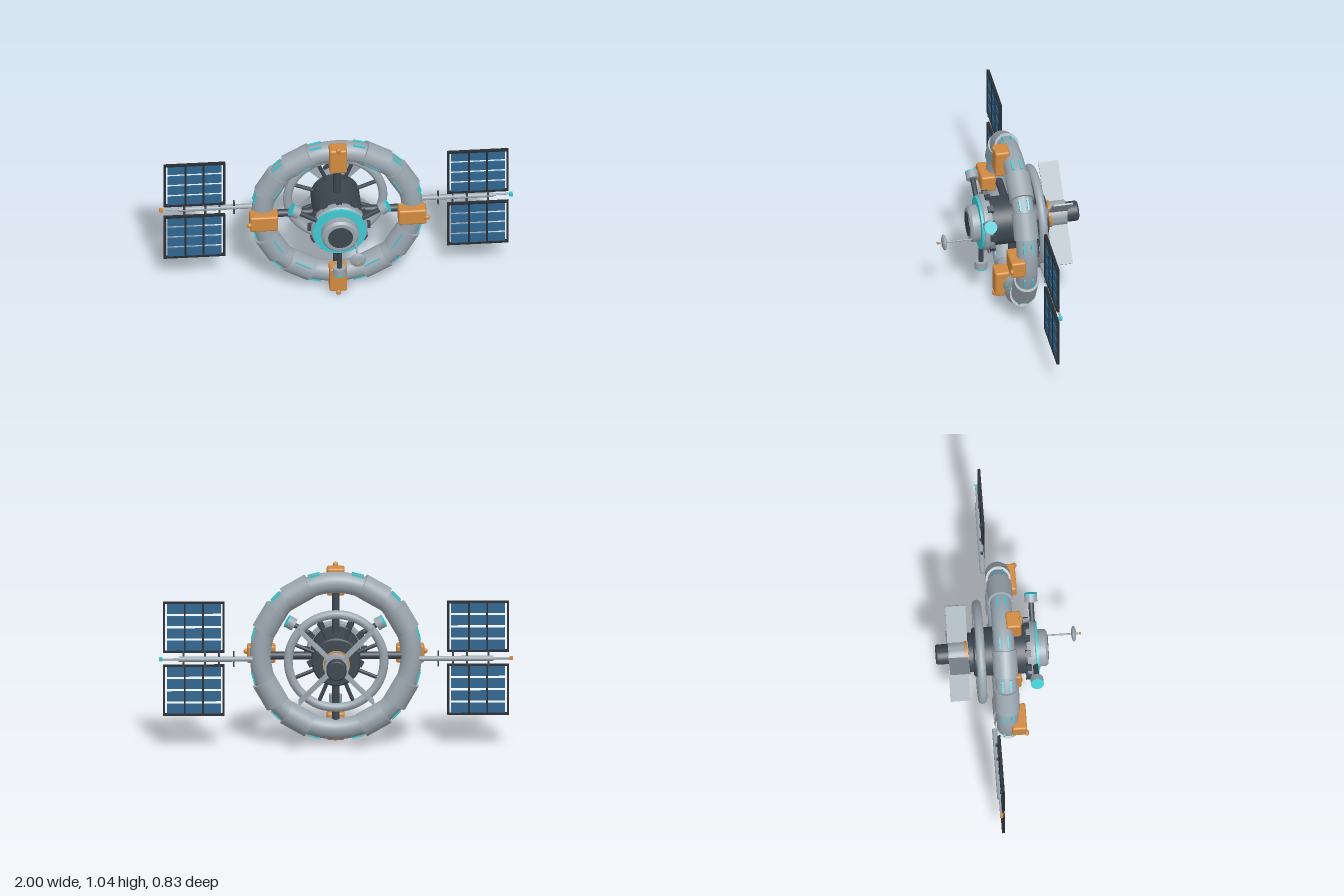
import * as THREE from 'three';
import { toCreasedNormals } from 'three/addons/utils/BufferGeometryUtils.js';
import { RoundedBoxGeometry } from 'three/addons/geometries/RoundedBoxGeometry.js';

const material = (name, color) => {
  const m = new THREE.MeshStandardMaterial({ color });
  m.name = name;
  return m;
};

export function createModel() {
  const hull = material('hullGrey', 0x9aa5ae);
  const dark = material('darkMetal', 0x3c4650);
  const frame = material('panelFrame', 0x282d33);
  const teal = material('tealGlow', 0x40c8d2);
  const orange = material('orange', 0xd08a40);
  const blue = material('solarBlue', 0x2f6690);

  const model = new THREE.Group();
  const station = new THREE.Group();
  station.name = 'station';
  station.position.y = 0.525;
  model.add(station);

  const add = (parent, name, geo, mat, x = 0, y = 0, z = 0) => {
    const mesh = new THREE.Mesh(geo, mat);
    mesh.name = name;
    mesh.position.set(x, y, z);
    parent.add(mesh);
    return mesh;
  };
  const box = (w, h, d) => new THREE.BoxGeometry(w, h, d);
  const cylX = (r, len, seg = 24) => new THREE.CylinderGeometry(r, r, len, seg).rotateZ(-Math.PI / 2);
  // Body of revolution about z from [radius, z] pairs, running back to front
  const turned = (name, mat, pts) => add(station, name, toCreasedNormals(
    new THREE.LatheGeometry(pts.map(([r, z]) => new THREE.Vector2(r, z)), 48).rotateX(Math.PI / 2), 0.6), mat);
  // Group whose local +x points outward at the given angle in degrees
  const arm = (name, degrees) => {
    const g = new THREE.Group();
    g.name = name;
    g.rotation.z = THREE.MathUtils.degToRad(degrees);
    station.add(g);
    return g;
  };

  // Hub, front to back
  turned('frontCap', hull, [[0, 0.15], [0.105, 0.15], [0.105, 0.207], [0.092, 0.22], [0, 0.22]]);
  turned('frontHatch', dark, [[0, 0.21], [0.07, 0.21], [0.07, 0.224], [0, 0.224]]);
  turned('glowDisc', teal, [[0, 0.152], [0.152, 0.152], [0.152, 0.165], [0, 0.165]]);
  turned('frontCollar', hull, [[0, 0.1], [0.155, 0.1], [0.16, 0.11], [0.16, 0.145], [0.152, 0.152], [0, 0.152]]);
  turned('hubBody', dark, [[0, -0.228], [0.112, -0.228], [0.112, -0.203], [0.13, -0.203],
    [0.138, -0.195], [0.138, 0.1], [0, 0.1]]);
  turned('engineBand', orange, [[0, -0.252], [0.077, -0.252], [0.077, -0.236], [0, -0.236]]);
  turned('engineBody', hull, [[0, -0.342], [0.07, -0.342], [0.07, -0.225], [0, -0.225]]);
  turned('engineNozzle', dark, [[0, -0.413], [0.05, -0.413], [0.057, -0.405], [0.057, -0.34], [0, -0.34]]);

  // Equipment blocks around the collar
  for (let i = 0; i < 12; i++) {
    const g = arm('equipmentBlock', i * 30);
    add(g, 'block', box(0.035, 0.034, 0.032), dark, 0.16, 0, 0.105);
  }

  // Radiator fins at the engine
  for (let i = 0; i < 4; i++) {
    const g = arm('radiator', 45 + i * 90);
    add(g, 'radiatorFin', box(0.24, 0.01, 0.113), hull, 0.177, 0, -0.287);
  }

  // Habitat ring and its modules
  add(station, 'habitatRing', new THREE.TorusGeometry(0.425, 0.06, 24, 96), hull, 0, 0, -0.035);
  for (let i = 0; i < 12; i++) {
    if (i % 3) {
      const m = arm('habitatModule', i * 30);
      add(m, 'moduleShell', new THREE.CylinderGeometry(0.07, 0.07, 0.155, 28), hull, 0.425, 0, -0.035);
      add(m, 'moduleStrip', box(0.006, 0.1, 0.006), teal, 0.389, 0, 0.025);
    }
    const w = arm('ringWindows', 15 + i * 30);
    for (const s of [-1, 1]) add(w, 'ringWindow', box(0.009, 0.068, 0.01), teal, 0.483, 0, -0.034 + s * 0.0235);
  }

  // Main spokes and orange docking blocks
  for (let i = 0; i < 4; i++) {
    const g = arm('spokeAssembly', i * 90);
    add(g, 'spoke', cylX(0.022, 0.29), dark, 0.265, 0, -0.035);
    add(g, 'dockingBlock', new RoundedBoxGeometry(0.16, 0.1, 0.085, 3, 0.012), orange, 0.42, 0, 0.0275);
    const knob = add(g, 'dockingKnob', new THREE.SphereGeometry(0.015, 16, 12), orange, 0.503, 0, 0.068);
    knob.scale.set(1.15, 1, 0.8);
  }

  // Rear ring and its struts
  add(station, 'rearRing', new THREE.TorusGeometry(0.27, 0.025, 20, 80), hull, 0, 0, -0.165);
  for (let i = 0; i < 8; i++) {
    const g = arm('rearStrutArm', 22.5 + i * 45);
    add(g, 'rearStrut', cylX(0.011, 0.15, 12), dark, 0.195, 0, -0.165);
  }

  // Three lamp arms on the collar
  for (const a of [30, 150, 270]) {
    const g = arm('lampArm', a);
    add(g, 'lampStem', cylX(0.015, 0.15, 16), dark, 0.2, 0, 0.143);
    add(g, 'lampHousing', cylX(0.036, 0.043), hull, 0.29, 0, 0.143);
    add(g, 'lampLens', cylX(0.037, 0.007), teal, 0.313, 0, 0.143);
  }

  // Dish antenna
  const antenna = new THREE.Group();
  antenna.name = 'antenna';
  antenna.position.set(0.087, -0.045, 0);
  station.add(antenna);
  add(antenna, 'antennaBoom', new THREE.CylinderGeometry(0.005, 0.005, 0.21, 10).rotateX(Math.PI / 2), hull, 0, 0, 0.3);
  add(antenna, 'dish', new THREE.SphereGeometry(0.045, 28, 16), hull, 0, 0, 0.374).scale.z = 0.32;
  add(antenna, 'antennaTip', box(0.011, 0.011, 0.011), orange, 0, 0, 0.41);

  // Solar wings
  for (const s of [1, -1]) {
    const wing = new THREE.Group();
    wing.name = s > 0 ? 'leftSolarWing' : 'rightSolarWing';
    station.add(wing);
    add(wing, 'wingBoom', cylX(0.015, 0.42, 16), hull, s * 0.68, 0, -0.113);
    add(wing, 'wingBoomEnd', cylX(0.006, 0.1, 10), hull, s * 0.935, 0, -0.113);
    add(wing, 'wingTipLight', box(0.02, 0.02, 0.02), s > 0 ? teal : orange, s * 0.99, 0, -0.11);
    for (const x of [0.578, 0.66]) add(wing, 'boomCrossbar', box(0.009, 0.09, 0.012), dark, s * x, 0, -0.11);
    for (const x of [0.74, 0.86]) add(wing, 'panelMount', box(0.012, 0.1, 0.012), dark, s * x, 0, -0.105);
    for (const v of [1, -1]) {
      const panel = new THREE.Group();
      panel.name = 'solarPanel';
      panel.position.set(s * 0.802, v * 0.183, -0.099);
      wing.add(panel);
      for (const e of [-1, 1]) {
        add(panel, 'frameSide', box(0.012, 0.296, 0.016), frame, e * 0.168, 0, 0);
        add(panel, 'frameEnd', box(0.348, 0.012, 0.016), frame, 0, e * 0.142, 0);
        add(panel, 'frameRib', box(0.01, 0.29, 0.015), frame, e * 0.051, 0, 0);
      }
      for (let row = 0; row < 4; row++) {
        const y = (row - 1.5) * 0.0715;
        for (let col = -1; col <= 1; col++) add(panel, 'solarCell', box(0.101, 0.057, 0.008), blue, col * 0.102, y, 0);
      }
    }
  }
  return model;
}
